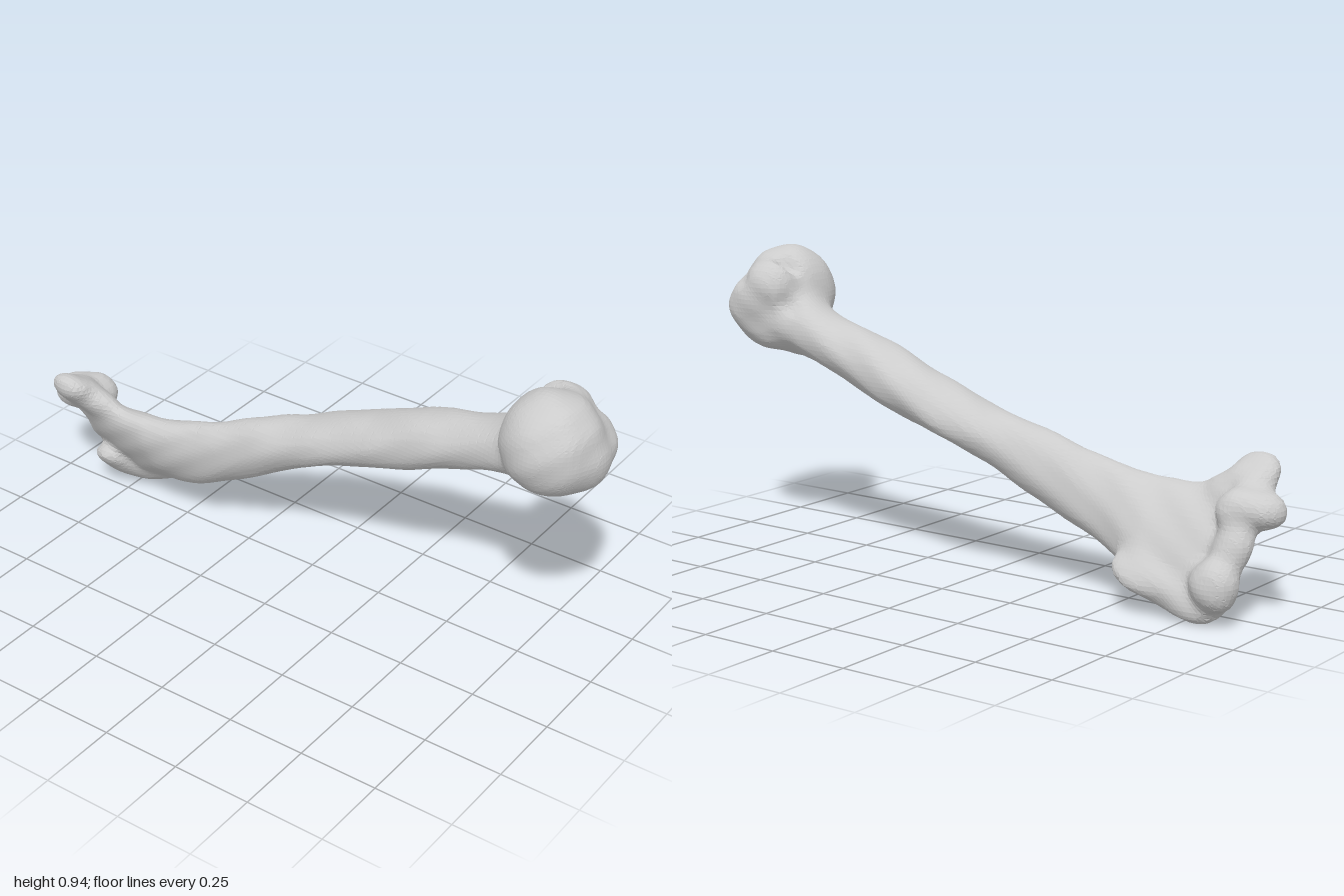
import * as THREE from 'three';

const material = new THREE.MeshStandardMaterial({ color: 0xcccccc, flatShading: true });

// Shaft cross-sections: z, centre x, centre y, long half-axis, short half-axis, tilt
const sections = [
  [0.84, 0.00, 0.765, 0.125, 0.110, 0.0],
  [0.76, 0.02, 0.740, 0.130, 0.115, 0.0],
  [0.69, 0.035, 0.700, 0.098, 0.100, 0.0],
  [0.60, 0.043, 0.666, 0.082, 0.094, 0.0],
  [0.40, 0.048, 0.597, 0.095, 0.097, 0.0],
  [0.20, 0.048, 0.525, 0.086, 0.102, 0.1],
  [0.00, 0.038, 0.452, 0.083, 0.098, 0.1],
  [-0.20, 0.010, 0.365, 0.106, 0.079, 0.15],
  [-0.40, -0.018, 0.280, 0.122, 0.070, 0.25],
  [-0.52, -0.012, 0.242, 0.142, 0.073, 0.45],
  [-0.60, 0.000, 0.220, 0.168, 0.071, 0.58],
  [-0.70, 0.008, 0.203, 0.192, 0.062, 0.54],
  [-0.80, 0.004, 0.220, 0.215, 0.048, 0.53],
  [-0.87, 0.010, 0.230, 0.180, 0.038, 0.53],
];
const path = new THREE.CatmullRomCurve3(sections.map(s => new THREE.Vector3(s[1], s[2], s[0])));
const size = new THREE.CatmullRomCurve3(sections.map(s => new THREE.Vector3(s[3], s[4], s[5])));

// Shaft centre and half-axes at a given z
function sectionAt(z) {
  let lo = 0, hi = 1;
  for (let n = 0; n < 24; n++) {
    const mid = (lo + hi) / 2;
    if (path.getPoint(mid).z > z) lo = mid; else hi = mid;
  }
  return { c: path.getPoint(lo), s: size.getPoint(lo) };
}

// Approximate distance to an ellipsoid (or, with z = 0, an ellipse) at the origin
function ellipsoidDistance(x, y, z, rx, ry, rz) {
  const k0 = Math.hypot(x / rx, y / ry, z / rz);
  const k1 = Math.hypot(x / rx ** 2, y / ry ** 2, z / rz ** 2);
  return k1 < 1e-6 ? -Math.min(rx, ry, rz) : k0 * (k0 - 1) / k1;
}

// Rounded lump: centre, radii, turn
function lump(centre, radii, turn = [0, 0, 0]) {
  const c = new THREE.Vector3(...centre);
  const q = new THREE.Quaternion().setFromEuler(new THREE.Euler(...turn)).invert();
  const v = new THREE.Vector3();
  return p => {
    v.copy(p).sub(c).applyQuaternion(q);
    return ellipsoidDistance(v.x, v.y, v.z, ...radii);
  };
}

const lumps = [
  // Upper end: ball joint and the bumps beside it
  lump([-0.029, 0.788, 0.833], [0.145, 0.154, 0.146]),
  lump([0.010, 0.745, 0.865], [0.115, 0.105, 0.128]),
  lump([0.090, 0.822, 0.810], [0.073, 0.083, 0.098], [0.3, 0, 0.2]),
  lump([0.084, 0.755, 0.865], [0.077, 0.092, 0.105], [0, 0, -0.1]),
  lump([0.055, 0.690, 0.815], [0.085, 0.074, 0.125]),
  // Ridge along the outer side of the shaft
  lump([0.112, 0.482, 0.110], [0.036, 0.038, 0.140], [-0.34, 0, 0]),
  // Lower end, inner side knob and the web to the joint
  lump([-0.118, 0.410, -0.852], [0.070, 0.041, 0.073], [0, 0, -0.7]),
  lump([-0.075, 0.368, -0.825], [0.062, 0.040, 0.085], [0.15, 0, -0.75]),
  lump([-0.062, 0.370, -0.880], [0.055, 0.042, 0.045], [0, 0, -0.7]),
  // Joint rollers in a slanting row
  lump([-0.018, 0.328, -0.930], [0.064, 0.058, 0.068]),
  lump([0.015, 0.325, -0.865], [0.058, 0.062, 0.062]),
  lump([0.045, 0.232, -0.875], [0.052, 0.085, 0.056], [0, 0, 0.5]),
  lump([0.102, 0.122, -0.848], [0.064, 0.075, 0.074]),
  // Outer side knob and rear lip
  lump([0.060, 0.062, -0.775], [0.080, 0.042, 0.095], [0, 0.3, -0.62]),
  lump([0.000, 0.110, -0.800], [0.062, 0.032, 0.065], [0, 0, -0.6]),
  // Flared edge running up the shaft
  lump([0.092, 0.122, -0.605], [0.074, 0.042, 0.100], [-0.38, 0, -0.5]),
  lump([0.075, 0.083, -0.700], [0.055, 0.052, 0.105], [-0.25, 0, -0.5]),
];

// Hollows: pit on the outer bump, groove between it and the ball, dip under it
const hollows = [
  lump([0.155, 0.850, 0.905], [0.030, 0.024, 0.036]),
  lump([0.065, 0.915, 0.745], [0.022, 0.050, 0.055], [0.3, 0, -0.2]),
  lump([0.140, 0.780, 0.690], [0.042, 0.032, 0.040]),
];

// Minimum of two distances with a soft fillet
function blend(a, b, k) {
  const h = Math.max(k - Math.abs(a - b), 0) / k;
  return Math.min(a, b) - h * h * k / 4;
}

// Distance to the whole bone
function boneDistance(p, { c, s }) {
  const dx = p.x - c.x, dy = p.y - c.y, cos = Math.cos(s.z), sin = Math.sin(s.z);
  let d = ellipsoidDistance(dx * cos + dy * sin, dy * cos - dx * sin, 0, s.y, s.x, 1);
  d = Math.max(d, p.z - 0.84, -0.88 - p.z);
  for (const part of lumps) d = blend(d, part(p), 0.032);
  for (const part of hollows) d = -blend(-d, part(p), 0.025);
  // gentle unevenness
  return d + 0.0014 * Math.sin(47 * p.x + 31 * p.z) + 0.0014 * Math.sin(61 * p.y - 43 * p.z);
}

export function createModel() {
  const cell = 0.014, min = [-0.224, -0.035, -1.043], n = [33, 74, 150];
  const step = [1, n[0], n[0] * n[1]];
  const at = (i, a) => min[a] + i * cell;

  // Sample the distance on a grid
  const field = new Float32Array(n[0] * n[1] * n[2]);
  const p = new THREE.Vector3();
  for (let k = 0, id = 0; k < n[2]; k++) {
    const section = sectionAt(at(k, 2));
    for (let j = 0; j < n[1]; j++) for (let i = 0; i < n[0]; i++) {
      field[id++] = boneDistance(p.set(at(i, 0), at(j, 1), at(k, 2)), section);
    }
  }

  // One vertex in each cell the surface crosses, one quad across each crossed grid edge
  const vertexOf = new Int32Array(field.length).fill(-1);
  const positions = [];
  const faces = { upperEnd: [], shaft: [], lowerEnd: [] };
  for (let k = 0; k < n[2] - 1; k++) for (let j = 0; j < n[1] - 1; j++) for (let i = 0; i < n[0] - 1; i++) {
    const id = i + j * step[1] + k * step[2];
    const sum = [0, 0, 0];
    let hits = 0;
    for (let corner = 0; corner < 8; corner++) for (let a = 0; a < 3; a++) {
      if (corner >> a & 1) continue;
      const o = [corner & 1, corner >> 1 & 1, corner >> 2];
      const from = id + o[0] + o[1] * step[1] + o[2] * step[2];
      const f = field[from], g = field[from + step[a]];
      if ((f < 0) === (g < 0)) continue;
      o[a] += f / (f - g);
      o.forEach((value, axis) => { sum[axis] += value; });
      hits++;
    }
    if (!hits) continue;
    vertexOf[id] = positions.length / 3;
    positions.push(...[i, j, k].map((index, a) => at(index + sum[a] / hits, a)));

    const z = at(k, 2);
    const index = faces[z > 0.66 ? 'upperEnd' : z < -0.5 ? 'lowerEnd' : 'shaft'];
    for (let a = 0; a < 3; a++) {
      const inside = field[id] < 0;
      if (inside === field[id + step[a]] < 0) continue;
      const u = step[(a + 1) % 3], v = step[(a + 2) % 3];
      const [q0, q1, q2, q3] = [id, id - u, id - u - v, id - v].map(c => vertexOf[c]);
      if (inside) index.push(q0, q1, q2, q0, q2, q3);
      else index.push(q0, q2, q1, q0, q3, q2);
    }
  }

  const model = new THREE.Group();
  model.name = 'armBone';
  const position = new THREE.Float32BufferAttribute(positions, 3);
  for (const [name, index] of Object.entries(faces)) {
    const geometry = new THREE.BufferGeometry();
    geometry.setAttribute('position', position);
    geometry.setIndex(index);
    geometry.computeVertexNormals();
    const mesh = new THREE.Mesh(geometry, material);
    mesh.name = name;
    model.add(mesh);
  }
  return model;
}
